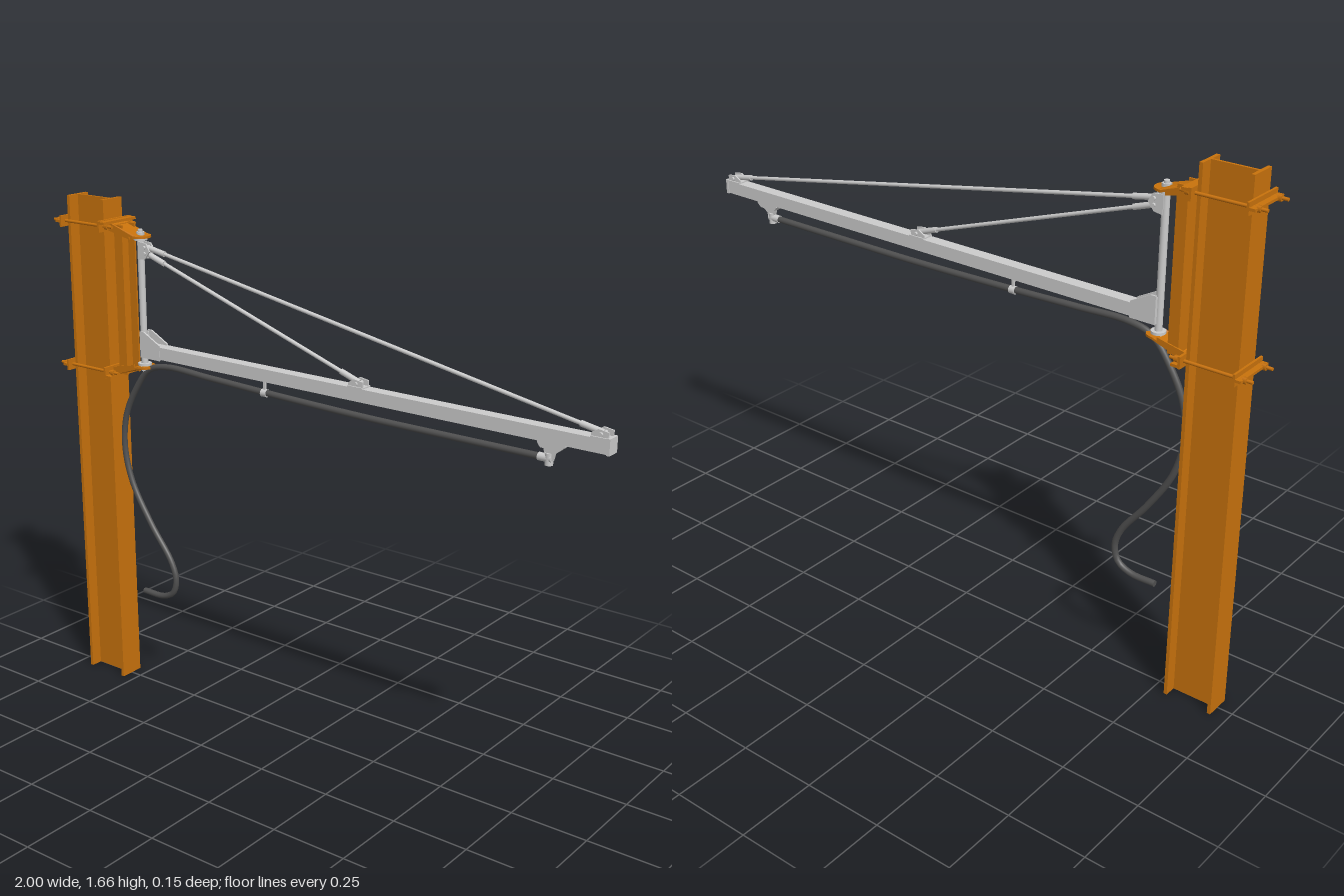
import * as THREE from 'three';

export function createModel() {
  const model = new THREE.Group();
  const orange = new THREE.MeshStandardMaterial({ color: 0xc8720c });
  const grey = new THREE.MeshStandardMaterial({ color: 0xcccccc });
  const dark = new THREE.MeshStandardMaterial({ color: 0x505050 });

  const add = (name, geo, mat, x = 0, y = 0, z = 0) => {
    const mesh = new THREE.Mesh(geo, mat);
    mesh.name = name;
    mesh.position.set(x, y, z);
    model.add(mesh);
    return mesh;
  };
  const box = (name, mat, x0, x1, y0, y1, z0, z1) =>
    add(name, new THREE.BoxGeometry(x1 - x0, y1 - y0, z1 - z0), mat,
      (x0 + x1) / 2, (y0 + y1) / 2, (z0 + z1) / 2);
  const cyl = (name, mat, r, h, x, y, z = 0, sides = 16) =>
    add(name, new THREE.CylinderGeometry(r, r, h, sides), mat, x, y, z);
  const rod = (name, mat, r, a, b, sides = 12) => {
    const p = new THREE.Vector3(...a), q = new THREE.Vector3(...b);
    const d = q.clone().sub(p);
    const mesh = cyl(name, mat, r, d.length(), 0, 0, 0, sides);
    mesh.position.copy(p).add(q).multiplyScalar(0.5);
    mesh.quaternion.setFromUnitVectors(new THREE.Vector3(0, 1, 0), d.normalize());
    return mesh;
  };
  const polygon = (pts) => new THREE.Shape(pts.map((p) => new THREE.Vector2(...p)));
  const extrude = (shape, depth) =>
    new THREE.ExtrudeGeometry(shape, { depth, bevelEnabled: false, curveSegments: 10 });
  // Side-on plate centred on z
  const plate = (name, mat, pts, z, t) =>
    add(name, extrude(polygon(pts), t), mat, 0, 0, z - t / 2);

  // I-section column
  const column = polygon([
    [-0.95, -0.042], [-0.939, -0.042], [-0.939, -0.004], [-0.801, -0.004], [-0.801, -0.042], [-0.79, -0.042],
    [-0.79, 0.042], [-0.801, 0.042], [-0.801, 0.004], [-0.939, 0.004], [-0.939, 0.042], [-0.95, 0.042],
  ]);
  add('column', extrude(column, 1.66).rotateX(-Math.PI / 2), orange);

  // Clamps: angle bars either side of the column joined by threaded rods
  for (const [y, s] of [[1.58, 1], [1.105, -1]]) {
    box('rearClampBar', orange, -0.957, -0.95, y - 0.018, y + 0.018, -0.073, 0.073);
    box('rearClampLeg', orange, -0.975, -0.957, y - 0.004, y + 0.004, -0.073, 0.073);
    box('frontClampBar', orange, -0.79, -0.782, y - 0.018, y + 0.018, -0.073, 0.073);
    box('frontClampLeg', orange, -0.782, -0.76, y + s * 0.012 - 0.004, y + s * 0.012 + 0.004, -0.073, 0.073);
    for (const z of [-0.052, 0.052]) {
      rod('clampRod', orange, 0.005, [-1, y, z], [-0.745, y, z]);
      for (const x of [-0.982, -0.773]) {
        rod('clampNut', orange, 0.01, [x, y, z], [x + 0.012, y, z], 6);
      }
    }
  }

  // Wall bracket: upright channel
  box('bracketWeb', orange, -0.757, -0.751, 1.1, 1.585, -0.03, 0.03);
  for (const z of [-0.028, 0.028]) {
    box('bracketFlange', orange, -0.757, -0.723, 1.1, 1.585, z - 0.003, z + 0.003);
  }

  // Bracket arms: round-nosed plates with sloping cheeks, mirrored top and bottom
  const nose = new THREE.Shape();
  nose.moveTo(-0.782, -0.035);
  nose.lineTo(-0.675, -0.035);
  nose.quadraticCurveTo(-0.64, -0.03, -0.64, 0);
  nose.quadraticCurveTo(-0.64, 0.03, -0.675, 0.035);
  nose.lineTo(-0.782, 0.035);
  nose.closePath();
  for (const s of [1, -1]) {
    const yAt = (d) => 1.3425 + s * d;
    // Plate bends inward from the clamp, then runs level under the pivot
    const geo = new THREE.ExtrudeGeometry(nose, { depth: 0.007, bevelEnabled: false }).rotateX(-Math.PI / 2);
    const pos = geo.attributes.position;
    for (let i = 0; i < pos.count; i++) {
      const t = Math.min(1, Math.max(0, (pos.getX(i) + 0.782) / 0.107));
      pos.setY(i, pos.getY(i) + yAt(0.247 - 0.036 * t) - 0.0035);
    }
    geo.computeVertexNormals();
    add('bracketArm', geo, orange);
    for (const z of [-0.032, 0.032]) {
      const pts = [[-0.782, yAt(0.247)], [-0.69, yAt(0.218)], [-0.69, yAt(0.203)], [-0.782, yAt(0.223)]];
      plate('bracketCheek', orange, s > 0 ? pts : pts.reverse(), z, 0.006);
    }
    // Pivot hardware
    cyl('pivotWasher', grey, 0.022, 0.008, -0.673, yAt(0.203));
    cyl('pivotNut', grey, 0.014, 0.012, -0.673, yAt(0.219), 0, 6);
    cyl('pivotPin', grey, 0.008, 0.05, -0.673, yAt(0.208));
  }

  // Pivot mast
  cyl('mast', grey, 0.011, 0.42, -0.673, 1.345, 0, 20);

  // Boom: C-rail open along the underside
  const rail = polygon([
    [-0.02, 1.17], [-0.007, 1.17], [-0.007, 1.174], [-0.016, 1.174], [-0.016, 1.206], [0.016, 1.206],
    [0.016, 1.174], [0.007, 1.174], [0.007, 1.17], [0.02, 1.17], [0.02, 1.21], [-0.02, 1.21],
  ]);
  add('boom', extrude(rail, 1.665).rotateY(Math.PI / 2), grey, -0.67);
  box('boomEndPlate', grey, 0.99, 1, 1.168, 1.215, -0.022, 0.022);

  // Gussets between mast and boom
  for (const z of [-0.018, 0.018]) {
    plate('boomGusset', grey, [[-0.672, 1.165], [-0.59, 1.165], [-0.59, 1.215], [-0.655, 1.25], [-0.672, 1.25]], z, 0.006);
  }
  box('boomRootPlate', grey, -0.672, -0.664, 1.165, 1.245, -0.018, 0.018);

  // Tie rods with their lugs
  for (const z of [-0.011, 0.011]) {
    plate('mastLug', grey, [[-0.673, 1.48], [-0.645, 1.485], [-0.625, 1.51], [-0.64, 1.535], [-0.673, 1.538]], z, 0.005);
  }
  for (const [endX, startY] of [[0.18, 1.503], [0.97, 1.522]]) {
    const a = [-0.65, startY, 0], b = [endX, 1.223, 0];
    const lerp = (t) => a.map((v, i) => v + (b[i] - v) * t);
    const len = Math.hypot(endX + 0.65, startY - 1.223);
    rod('tieRod', grey, 0.006, a, b);
    rod('tieRodSocket', grey, 0.009, lerp(0.02 / len), lerp(0.08 / len));
    rod('tieRodSocket', grey, 0.009, lerp(1 - 0.07 / len), b);
    rod('tieRodPin', grey, 0.006, [endX, 1.222, -0.023], [endX, 1.222, 0.023]);
    rod('tieRodPin', grey, 0.006, [-0.645, startY, -0.02], [-0.645, startY, 0.02]);
    for (const z of [-0.014, 0.014]) {
      plate('boomLug', grey, [[endX - 0.03, 1.209], [endX + 0.022, 1.209], [endX + 0.022, 1.23],
        [endX - 0.008, 1.235], [endX - 0.03, 1.222]], z, 0.005);
    }
    box('boomLugBase', grey, endX - 0.03, endX + 0.025, 1.209, 1.214, -0.021, 0.021);
  }

  // Trolley and outlet at the far end of the hose
  plate('trolley', grey, [[0.79, 1.15], [0.85, 1.15], [0.865, 1.163], [0.865, 1.172], [0.78, 1.172], [0.78, 1.163]], 0, 0.028);
  plate('trolleyHanger', grey, [[0.805, 1.115], [0.825, 1.115], [0.83, 1.135], [0.85, 1.15], [0.795, 1.15]], 0, 0.012);
  cyl('hoseOutlet', grey, 0.012, 0.035, 0.812, 1.118);
  rod('hoseCoupling', grey, 0.012, [0.78, 1.12, 0], [0.822, 1.12, 0]);

  // Hose support in mid-span
  box('hoseHanger', grey, -0.179, -0.171, 1.135, 1.172, -0.004, 0.004);
  rod('hoseClip', grey, 0.0125, [-0.185, 1.129, 0], [-0.165, 1.129, 0]);

  // Hose running under the boom and hanging beside the column
  const path = new THREE.CatmullRomCurve3([
    [0.81, 1.12], [0.5, 1.12], [0.2, 1.121], [-0.175, 1.13], [-0.4, 1.138], [-0.58, 1.143], [-0.655, 1.122],
    [-0.715, 1.05], [-0.765, 0.95], [-0.778, 0.84], [-0.75, 0.72], [-0.67, 0.585], [-0.585, 0.47],
    [-0.566, 0.41], [-0.58, 0.36], [-0.625, 0.336], [-0.71, 0.334],
  ].map(([x, y]) => new THREE.Vector3(x, y, 0)));
  add('hose', new THREE.TubeGeometry(path, 140, 0.01, 12), dark);
  rod('hoseEnd', dark, 0.01, [-0.708, 0.334, 0], [-0.711, 0.334, 0]);

  return model;
}
